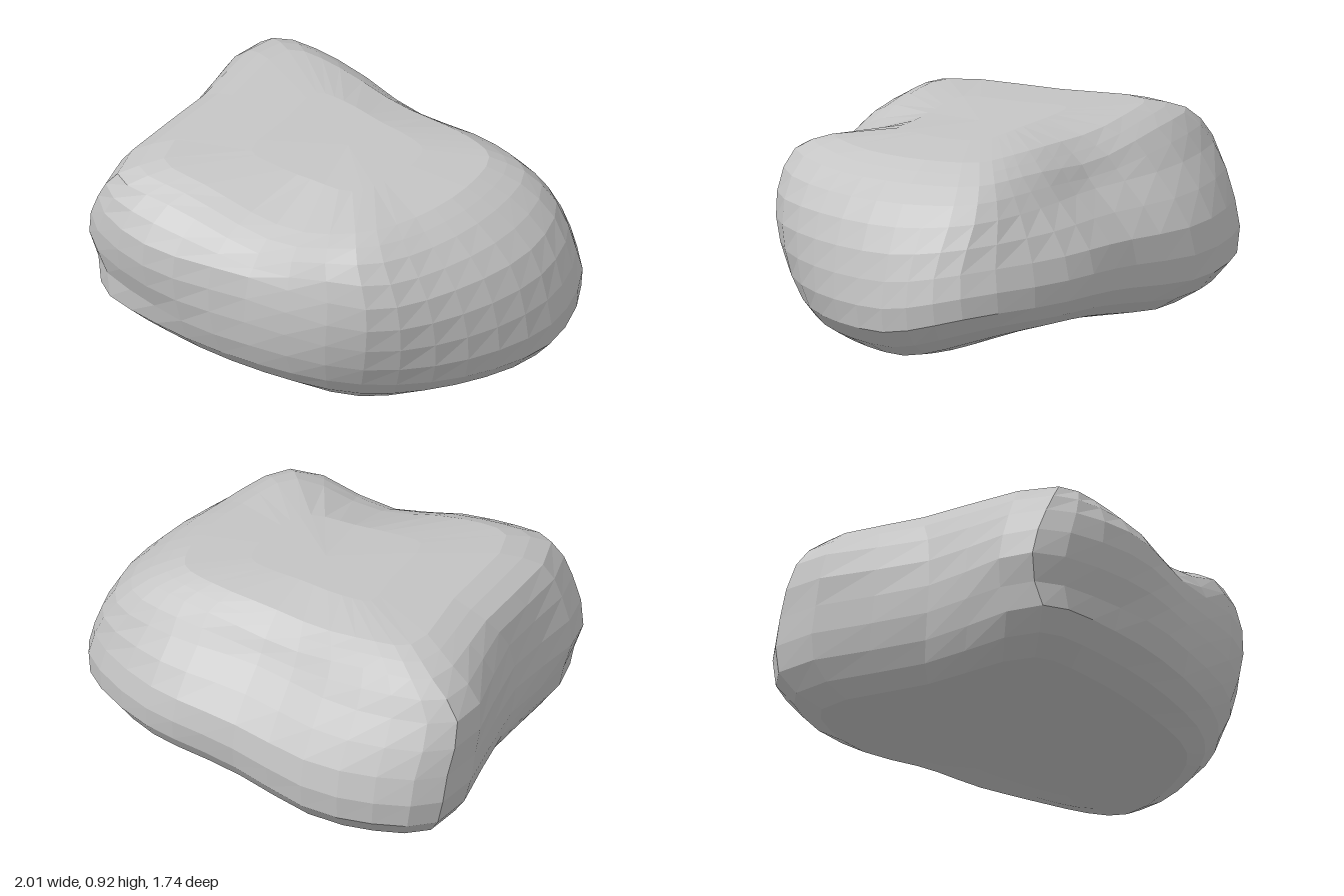
import * as THREE from 'three';

// Horizontal outlines from the ground up; twelve [x, z] points each,
// running front-left corner, front, right, back, left side.
const levels = [
  { y: 0.03, p: [[-.68, .52], [-.4, .59], [.05, .58], [.44, .48], [.68, .2], [.81, -.14], [.73, -.42], [.42, -.64], [0, -.66], [-.5, -.68], [-.8, -.56], [-.74, -.02]] },
  { y: 0.18, p: [[-.83, .68], [-.45, .78], [.08, .74], [.53, .58], [.85, .26], [.99, -.15], [.89, -.5], [.46, -.76], [0, -.8], [-.55, -.86], [-.95, -.68], [-.85, .05]] },
  { y: 0.42, p: [[-.9, .68], [-.45, .85], [.05, .79], [.6, .64], [.88, .28], [.98, -.15], [.88, -.48], [.45, -.74], [0, -.79], [-.55, -.84], [-.98, -.65], [-.89, .1]] },
  { y: 0.66, p: [[-.83, .7], [-.45, .86], [.05, .76], [.61, .65], [.82, .29], [.89, -.15], [.77, -.48], [.43, -.6], [0, -.6], [-.55, -.69], [-.98, -.56], [-.87, .08]] },
  { y: 0.82, p: [[-.73, .69], [-.42, .73], [.05, .69], [.53, .61], [.68, .27], [.72, -.12], [.64, -.42], [.42, -.5], [0, -.53], [-.52, -.58], [-.83, -.52], [-.8, 0]] },
];
const AROUND = 36, UP = 13;
const { smoothstep, clamp } = THREE.MathUtils;
const bump = (value, centre, width) => Math.exp(-(((value - centre) / width) ** 2));

// Tilts the top, saddles its front and back rims, bows the base,
// undercuts the back and cuts a ledge low on the front.
function weather(v) {
  const t = clamp(v.y / 0.85, 0, 1);
  const high = smoothstep(v.y, 0.62, 0.8);
  const front = smoothstep(v.z, 0.2, 0.6), back = smoothstep(-v.z, 0.3, 0.55);
  const saddle = 0.075 * front * bump(v.x, 0.06, 0.28) + 0.055 * back * bump(v.x, -0.08, 0.32);
  const shoulder = 0.035 * front * bump(v.x, 0.5, 0.2);
  const undercut = smoothstep(-v.z, 0.1, 0.65) * smoothstep(v.x, -0.5, 0.4);
  const ledge = bump(v.y, 0.32, 0.07) * smoothstep(-v.x, 0.1, 0.6) * smoothstep(v.z, 0.3, 0.6);
  v.y += t * (-0.03 * v.x - 0.035 * v.z) + high * (shoulder - saddle)
    + (1 - t) * (0.04 * Math.hypot(v.x - 0.35, v.z - 0.35) + 0.12 * undercut);
  v.z -= 0.035 * ledge;
  v.x += 0.02 * ledge;
  return v;
}

function boulderGeometry() {
  // Smooth closed loops, with inner loops for the underside and the top
  const loops = levels.map(({ y, p }) => {
    const curve = new THREE.CatmullRomCurve3(p.map(([x, z]) => new THREE.Vector3(x, y, z)), true);
    return Array.from({ length: AROUND }, (_, i) => curve.getPoint(i / AROUND));
  });
  const inner = (loop, s, y) => loop.map((v) => new THREE.Vector3(v.x * s, y, v.z * s));
  const rim = loops[4];
  loops.unshift(inner(loops[0], 0.6, 0.005));
  loops.push(inner(rim, 0.8, 0.89));

  // Vertical ribs through the loops
  const points = [];
  for (let i = 0; i < AROUND; i++) {
    const rib = new THREE.CatmullRomCurve3(loops.map((loop) => loop[i]));
    for (let j = 0; j < UP; j++) points.push(weather(rib.getPoint(j / (UP - 1))));
  }
  // Halfway ring on the top, then the two centres
  const ring = points.length;
  inner(rim, 0.42, 0.91).forEach((v) => points.push(weather(v)));
  const top = points.push(weather(new THREE.Vector3(0, 0.91, 0))) - 1;
  const base = points.push(weather(new THREE.Vector3(0, 0.005, 0))) - 1;

  const index = [];
  const quad = (a, b, c, d) => index.push(a, b, c, a, c, d);
  for (let i = 0; i < AROUND; i++) {
    const n = (i + 1) % AROUND, a = i * UP, b = n * UP;
    for (let j = 0; j < UP - 1; j++) quad(a + j, b + j, b + j + 1, a + j + 1);
    quad(a + UP - 1, b + UP - 1, ring + n, ring + i);
    index.push(ring + i, ring + n, top, b, a, base);
  }
  const geometry = new THREE.BufferGeometry().setFromPoints(points);
  geometry.setIndex(index);

  // Centre on the ground
  geometry.computeBoundingBox();
  const box = geometry.boundingBox, mid = box.getCenter(new THREE.Vector3());
  geometry.translate(-mid.x, -box.min.y, -mid.z);
  const flat = geometry.toNonIndexed();
  flat.computeVertexNormals();
  return flat;
}

export function createModel() {
  const stone = new THREE.MeshStandardMaterial({ color: 0xc4c4c4, flatShading: true });
  stone.name = 'stone grey';
  const boulder = new THREE.Mesh(boulderGeometry(), stone);
  boulder.name = 'boulder';
  const group = new THREE.Group();
  group.name = 'rock';
  group.add(boulder);
  return group;
}
